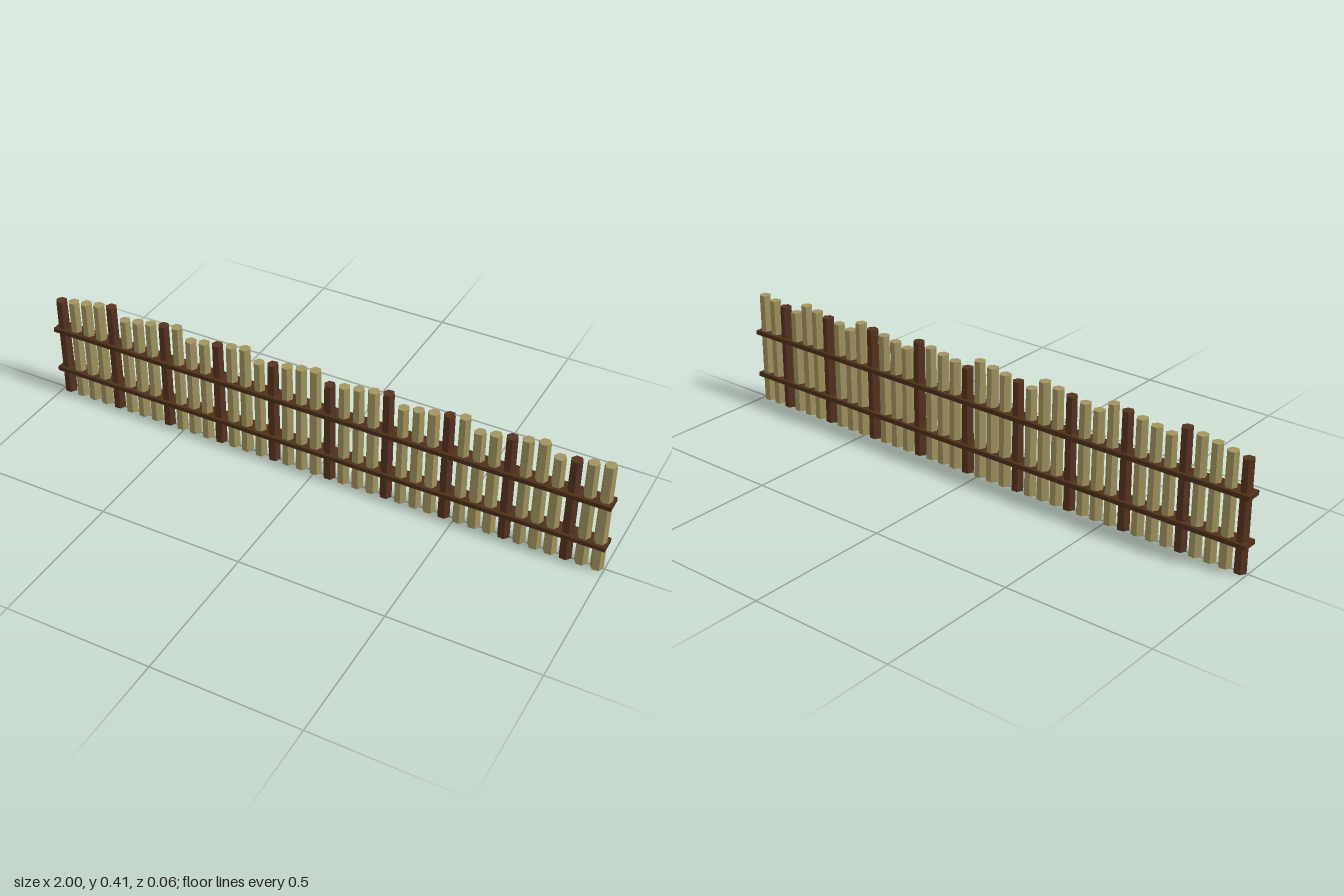
import * as THREE from 'three';

export function createModel() {
  const group = new THREE.Group();
  group.name = 'palisadeFence';
  const material = (name, color) => {
    const m = new THREE.MeshStandardMaterial({ color, flatShading: true });
    m.name = name;
    return m;
  };
  const paleWood = material('paleWood', 0xa39560);
  const darkWood = material('darkWood', 0x56331f);
  const railWood = material('railWood', 0x4d3019);

  // Stakes: gently tapered hexagonal logs, heights step up in cycles of five
  const count = 39, spacing = 0.0513;
  for (let i = 0; i < count; i++) {
    const height = 0.37 + (i % 5) * 0.0092;
    const dark = i % 4 === 0;
    const geometry = new THREE.CylinderGeometry(0.0195, 0.0215, height, 6);
    const stake = new THREE.Mesh(geometry, dark ? darkWood : paleWood);
    stake.name = dark ? 'darkStake' : 'paleStake';
    stake.position.set((i - (count - 1) / 2) * spacing, height / 2, 0);
    // Each log is turned a little differently about its own axis
    stake.rotation.y = Math.PI / 6 + Math.sin(i * 1.7) * 0.12;
    group.add(stake);
  }

  // Two horizontal rails running through the stakes
  for (const [name, y] of [['lowerRail', 0.097], ['upperRail', 0.257]]) {
    const rail = new THREE.Mesh(new THREE.BoxGeometry(2, 0.015, 0.056), railWood);
    rail.name = name;
    rail.position.y = y;
    group.add(rail);
  }
  return group;
}
